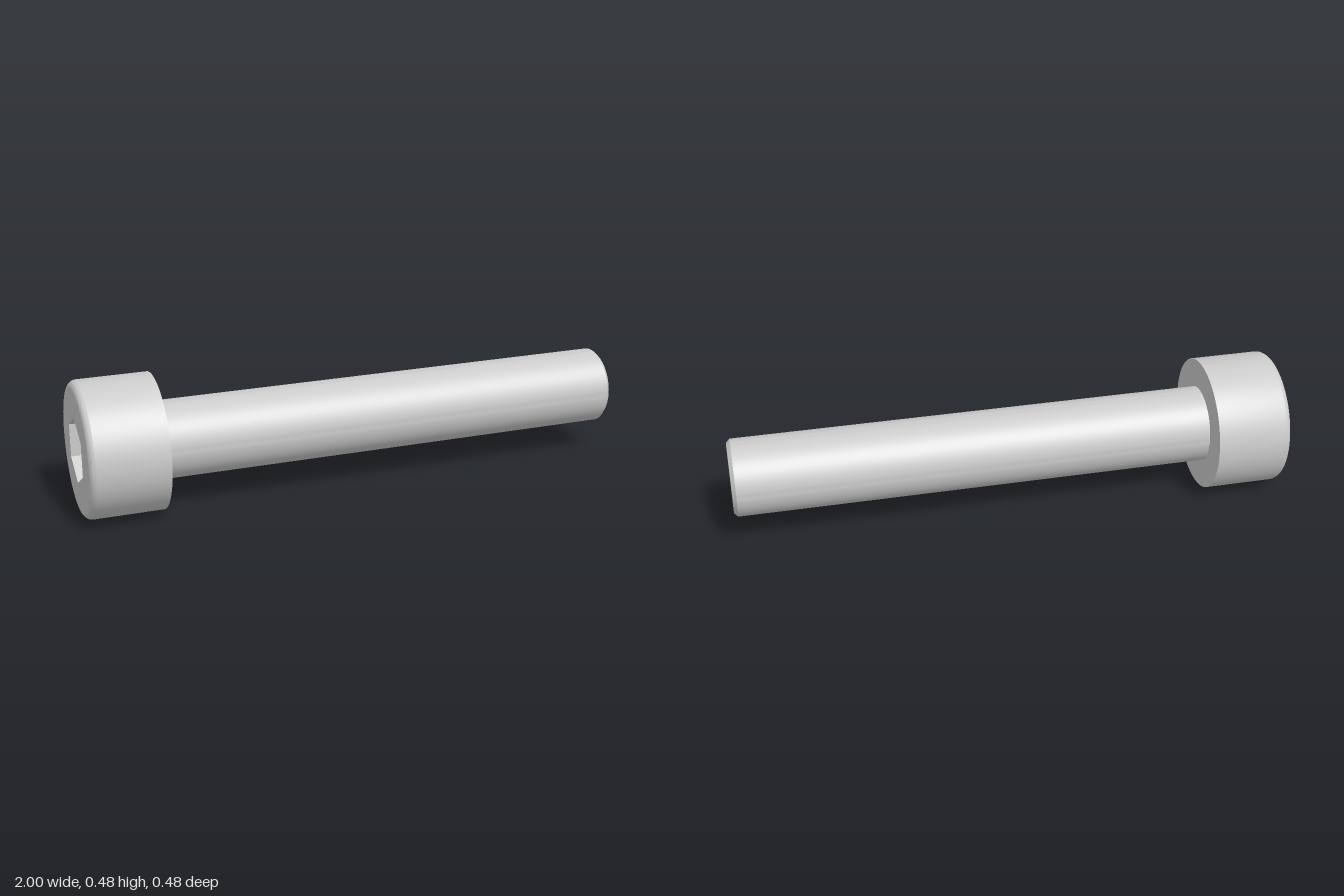
import * as THREE from 'three';
import { toCreasedNormals } from 'three/addons/utils/BufferGeometryUtils.js';

const SEGMENTS = 96;
const HEAD_R = 0.2414, HEAD_H = 0.2759, FILLET = 0.0276;
const SHANK_R = 0.1379, CHAMFER = 0.0135, LENGTH = 2;
const HEX_R = 0.2069 / Math.sqrt(3), SOCKET_DEPTH = 0.158;

export function createModel() {
  const material = new THREE.MeshStandardMaterial({ color: 0xcccccc });
  const inner = new THREE.MeshStandardMaterial({ color: 0xcccccc, flatShading: true, side: THREE.DoubleSide });

  // The bolt is built along +y from the head face, then laid along +x
  const bolt = new THREE.Group();
  bolt.name = 'bolt';
  const add = (name, geometry, mat = material) => {
    const mesh = new THREE.Mesh(geometry, mat);
    mesh.name = name;
    bolt.add(mesh);
  };
  const lathe = (points) => toCreasedNormals(
    new THREE.LatheGeometry(points.map(([r, y]) => new THREE.Vector2(r, y)), SEGMENTS), 0.5);

  // Head: rounded outer rim, cylindrical side and flat underside
  const headProfile = [];
  for (let i = 0; i <= 8; i++) {
    const a = (i / 8) * Math.PI / 2;
    headProfile.push([HEAD_R - FILLET + FILLET * Math.sin(a), FILLET - FILLET * Math.cos(a)]);
  }
  headProfile.push([HEAD_R, HEAD_H], [SHANK_R, HEAD_H]);
  add('head', lathe(headProfile));

  // Flat head face with the hexagonal opening
  const face = new THREE.Shape().absarc(0, 0, HEAD_R - FILLET, 0, Math.PI * 2);
  const corners = Array.from({ length: 6 }, (_, i) => new THREE.Vector2(
    HEX_R * Math.cos(i * Math.PI / 3), HEX_R * Math.sin(i * Math.PI / 3)));
  face.holes.push(new THREE.Path(corners).closePath());
  add('headFace', new THREE.ShapeGeometry(face, SEGMENTS / 2).rotateX(Math.PI / 2));

  // Hexagonal socket: walls and floor
  add('socketWalls', new THREE.CylinderGeometry(HEX_R, HEX_R, SOCKET_DEPTH, 6, 1, true)
    .rotateY(Math.PI / 2).translate(0, SOCKET_DEPTH / 2, 0), inner);
  add('socketFloor', new THREE.CircleGeometry(HEX_R, 6)
    .rotateX(Math.PI / 2).translate(0, SOCKET_DEPTH, 0), inner);

  // Plain shank with a chamfered tip
  add('shank', lathe([
    [SHANK_R, HEAD_H], [SHANK_R, LENGTH - CHAMFER], [SHANK_R - CHAMFER, LENGTH], [0, LENGTH],
  ]));

  bolt.rotation.z = -Math.PI / 2;
  bolt.position.set(-LENGTH / 2, HEAD_R, 0);

  const model = new THREE.Group();
  model.name = 'socketHeadBolt';
  model.add(bolt);
  return model;
}
